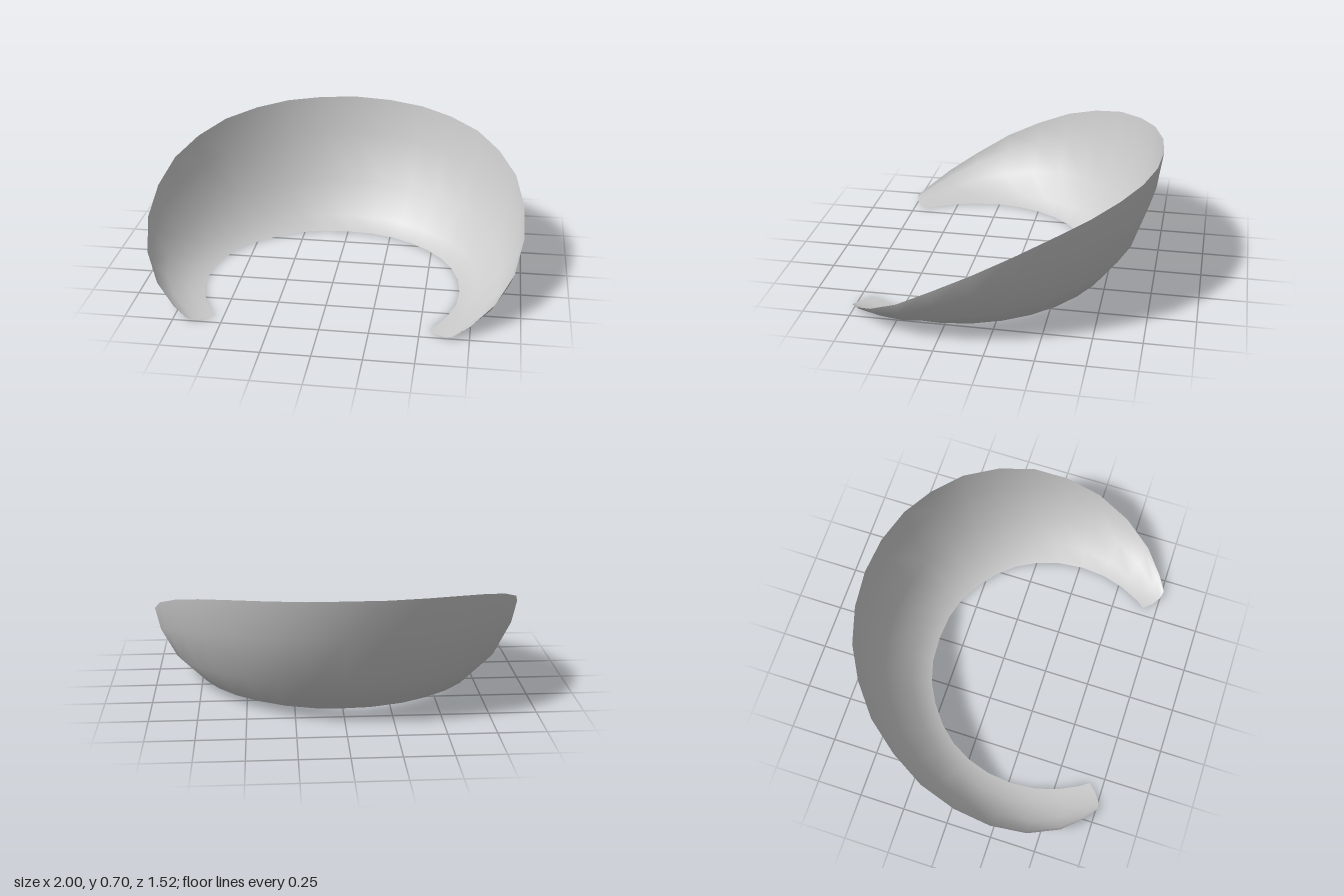
import * as THREE from 'three';

// Half rims from the back centre to the front tip
const inner = [ // [x, z] at ground level
  [0, -0.39], [0.14, -0.38], [0.265, -0.345], [0.375, -0.285], [0.48, -0.205], [0.565, -0.11], [0.625, 0],
  [0.665, 0.125], [0.68, 0.265], [0.668, 0.4], [0.632, 0.52], [0.58, 0.625], [0.545, 0.675],
];
const outer = [ // [x, y, z]
  [0, 0.705, -0.765], [0.2, 0.70, -0.747], [0.395, 0.69, -0.69], [0.565, 0.67, -0.597], [0.725, 0.638, -0.47],
  [0.85, 0.588, -0.31], [0.945, 0.52, -0.135], [0.993, 0.43, 0.055], [1, 0.33, 0.25], [0.957, 0.215, 0.44],
  [0.865, 0.122, 0.6], [0.75, 0.053, 0.71], [0.675, 0.025, 0.76],
];
// Bowl-shaped section: fraction outwards, fraction upwards
const section = [[0, 0], [0.3, 0.07], [0.67, 0.33], [0.92, 0.71], [1, 1]];

export function createModel() {
  const group = new THREE.Group();
  const half = inner.length - 1, cols = section.length;
  const positions = [], index = [];

  // Sweep the section round the open ring, mirrored about x = 0
  for (let i = -half; i <= half; i++) {
    const k = Math.abs(i), side = Math.sign(i);
    const [ix, iz] = inner[k], [ox, oy, oz] = outer[k];
    const bulge = k === half ? 0.022 : 0; // rounded tips
    for (const [f, h] of section) {
      positions.push(
        side * THREE.MathUtils.lerp(ix, ox, f),
        oy * h,
        THREE.MathUtils.lerp(iz, oz, f) + bulge * 4 * f * (1 - f),
      );
    }
  }
  for (let i = 0; i < 2 * half; i++) {
    for (let j = 0; j < cols - 1; j++) {
      const a = i * cols + j, b = a + cols;
      index.push(a, a + 1, b, b, a + 1, b + 1);
    }
  }

  const geometry = new THREE.BufferGeometry();
  geometry.setAttribute('position', new THREE.Float32BufferAttribute(positions, 3));
  geometry.setIndex(index);
  geometry.computeVertexNormals();

  const shell = new THREE.Mesh(
    geometry,
    new THREE.MeshStandardMaterial({ color: 0xcccccc, side: THREE.DoubleSide }),
  );
  shell.name = 'curvedCollarShell';
  group.add(shell);
  return group;
}
